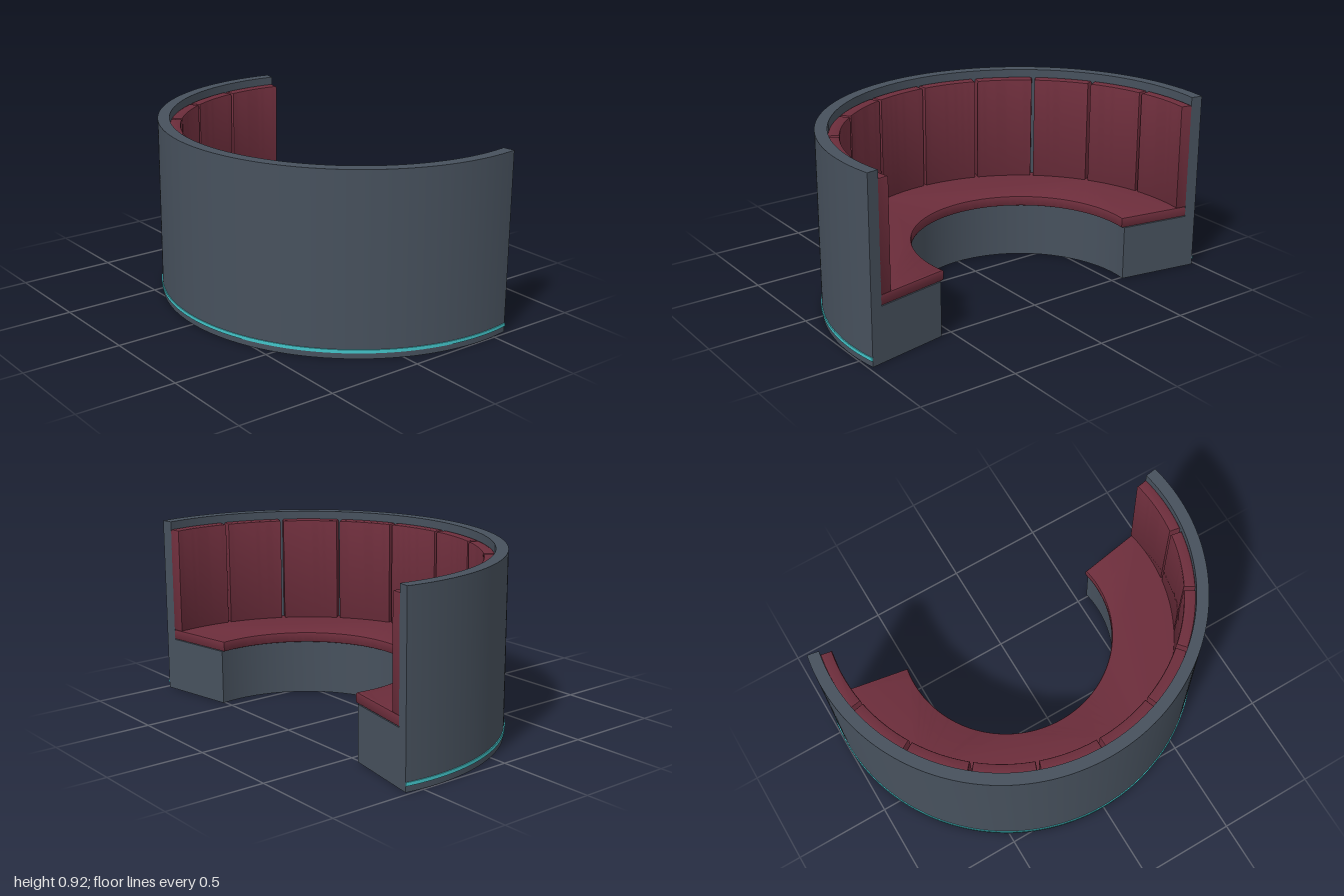
import * as THREE from 'three';
import { toCreasedNormals } from 'three/addons/utils/BufferGeometryUtils.js';

const CENTRE_Z = -0.413;
const HALF_SPAN = 100; // degrees each side of the front
const PANELS = 10;

// Curved block between two radii, two heights and two angles (degrees from +z)
function arcBlock(inner, outer, bottom, top, from, to, bevel = 0) {
  const a = THREE.MathUtils.degToRad(90 - to);
  const b = THREE.MathUtils.degToRad(90 - from);
  const shape = new THREE.Shape();
  shape.absarc(0, 0, outer, a, b, false);
  shape.absarc(0, 0, inner, b, a, true);
  shape.closePath();
  const geometry = new THREE.ExtrudeGeometry(shape, {
    depth: top - bottom - 2 * bevel,
    curveSegments: Math.max(6, Math.round((to - from) / 2.5)),
    bevelEnabled: bevel > 0,
    bevelThickness: bevel,
    bevelSize: bevel,
    bevelOffset: -bevel,
    bevelSegments: 2,
  });
  geometry.rotateX(Math.PI / 2);
  geometry.translate(0, top - bevel, 0);
  return toCreasedNormals(geometry, 0.5);
}

export function createModel() {
  const shell = new THREE.MeshStandardMaterial({ name: 'slate shell', color: 0x47515d });
  const fabric = new THREE.MeshStandardMaterial({ name: 'burgundy upholstery', color: 0x6c2d3b });
  const glow = new THREE.MeshStandardMaterial({ name: 'teal trim', color: 0x43c4c9 });

  const booth = new THREE.Group();
  booth.name = 'curvedBooth';
  booth.position.z = CENTRE_Z;

  const add = (name, material, geometry, parent = booth) => {
    const mesh = new THREE.Mesh(geometry, material);
    mesh.name = name;
    parent.add(mesh);
  };

  // Outer wall, seat plinth and padded seat
  add('backWall', shell, arcBlock(0.935, 0.995, 0, 0.92, -HALF_SPAN, HALF_SPAN));
  add('seatBase', shell, arcBlock(0.57, 0.936, 0, 0.28, -HALF_SPAN, HALF_SPAN));
  add('seatCushion', fabric, arcBlock(0.553, 0.936, 0.28, 0.335, -HALF_SPAN, HALF_SPAN, 0.01));

  // Trim line around the foot of the wall
  add('trimStrip', glow, arcBlock(0.994, 1.0, 0.03, 0.047, -HALF_SPAN, HALF_SPAN));

  // Row of separate padded back panels
  const backrest = new THREE.Group();
  backrest.name = 'backrest';
  booth.add(backrest);
  const step = (2 * HALF_SPAN) / PANELS;
  const gap = 0.5;
  for (let i = 0; i < PANELS; i++) {
    const from = -HALF_SPAN + i * step;
    const start = i === 0 ? from : from + gap;
    const end = i === PANELS - 1 ? from + step : from + step - gap;
    add(`backPanel${i + 1}`, fabric, arcBlock(0.878, 0.936, 0.33, 0.88, start, end, 0.01), backrest);
  }

  const model = new THREE.Group();
  model.name = 'boothSeat';
  model.add(booth);
  return model;
}
